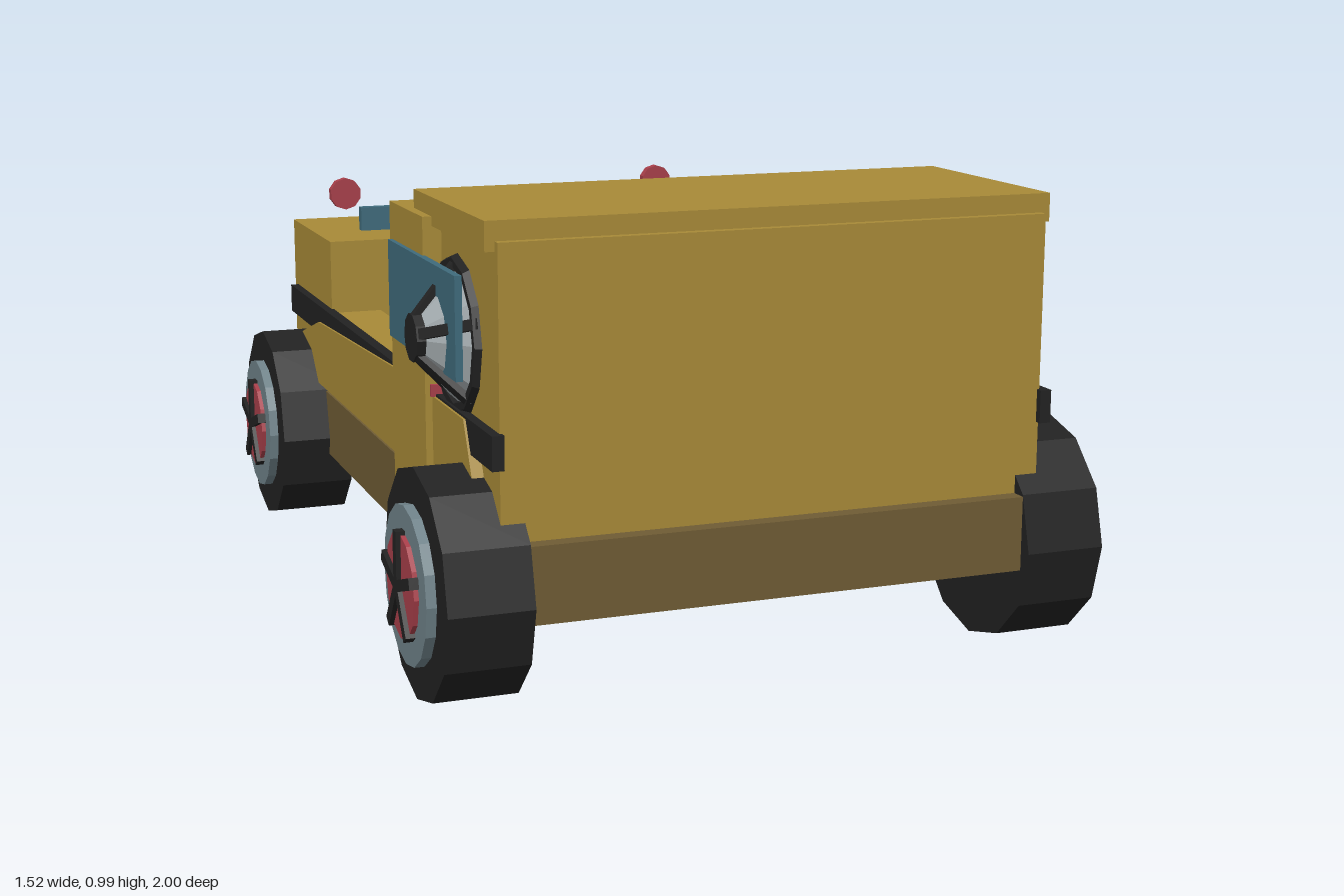
import * as THREE from 'three';

const mat = (name, color) => {
  const m = new THREE.MeshStandardMaterial({ color, flatShading: true });
  m.name = name;
  return m;
};

export function createModel() {
  const ochre = mat('ochrePaint', 0xa88a38);
  const brown = mat('chassisBrown', 0x6f5c34);
  const black = mat('rubberBlack', 0x222222);
  const blue = mat('glassBlue', 0x3f6b7c);
  const steel = mat('steelGrey', 0x6f8289);
  const red = mat('signalRed', 0xa83f4a);
  const pale = mat('paleGrey', 0xa3abae);

  const car = new THREE.Group();
  car.name = 'offRoadCar';
  const add = (name, geo, m, parent = car) => {
    const mesh = new THREE.Mesh(geo, m);
    mesh.name = name;
    parent.add(mesh);
    return mesh;
  };
  // Box given by its extents on each axis
  const box = (name, m, x0, x1, y0, y1, z0, z1, parent = car) => {
    const mesh = add(name, new THREE.BoxGeometry(x1 - x0, y1 - y0, z1 - z0), m, parent);
    mesh.position.set((x0 + x1) / 2, (y0 + y1) / 2, (z0 + z1) / 2);
    return mesh;
  };
  // Same box on both sides of the car
  const pair = (name, m, x0, x1, ...rest) => {
    box(name + 'Left', m, x0, x1, ...rest);
    box(name + 'Right', m, -x1, -x0, ...rest);
  };

  // Chassis and main body blocks
  box('chassis', brown, -0.6, 0.6, 0.2, 0.36, -0.975, 0.97);
  box('hood', ochre, -0.59, 0.59, 0.36, 0.75, -0.935, -0.5);
  box('cab', ochre, -0.59, 0.59, 0.36, 0.95, 0.5, 0.935);
  box('roof', ochre, -0.61, 0.61, 0.93, 0.99, 0.4, 0.915);
  pair('cabPillar', ochre, 0.545, 0.63, 0.3, 0.95, 0.27, 0.54);
  pair('sideWindow', blue, 0.625, 0.64, 0.66, 0.87, 0.29, 0.81);
  pair('sideRail', black, 0.585, 0.61, 0.51, 0.58, -0.9, 0.95);

  // Side walls around the cockpit
  pair('sideWall', ochre, 0.465, 0.59, 0.38, 0.57, -0.5, 0.5);

  // Outer side panels, with edges falling away over the wheels
  const panel = new THREE.Shape([
    [0.85, 0.42], [0.77, 0.575], [0.27, 0.575], [-0.55, 0.54], [-0.92, 0.43], [-0.92, 0.38], [0.85, 0.38],
  ].map(([z, y]) => new THREE.Vector2(-z, y)));
  for (const s of [1, -1]) {
    const geo = new THREE.ExtrudeGeometry(panel, { depth: 0.03, bevelEnabled: false });
    geo.rotateY(Math.PI / 2);
    geo.translate(s > 0 ? 0.585 : -0.615, 0, 0);
    add(s > 0 ? 'sidePanelLeft' : 'sidePanelRight', geo, ochre);
  }

  // Grille with bars, headlights, marker lamps and windscreen strip
  box('grille', black, -0.29, 0.29, 0.385, 0.52, -0.965, -0.93);
  for (let i = -2; i <= 2; i++) {
    box('grilleBar', steel, i * 0.1 - 0.011, i * 0.1 + 0.011, 0.395, 0.505, -0.983, -0.96);
  }
  pair('headlight', pale, 0.33, 0.49, 0.55, 0.63, -0.968, -0.93);
  for (const s of [1, -1]) {
    const lamp = add('markerLamp', new THREE.CylinderGeometry(0.042, 0.042, 0.024, 10), red);
    lamp.rotation.x = Math.PI / 2;
    lamp.position.set(s * 0.447, 0.812, -0.947);
  }
  box('windscreenStrip', blue, -0.47, 0.47, 0.74, 0.81, -0.69, -0.665);

  // Seat
  box('seatCushion', black, -0.21, 0.21, 0.36, 0.5, -0.09, 0.3);
  box('seatBack', black, -0.21, 0.21, 0.36, 0.745, 0.285, 0.39);
  box('seatInset', brown, -0.16, 0.16, 0.53, 0.7, 0.267, 0.287);

  // Steering wheel and its sloping column
  const steering = new THREE.Group();
  steering.name = 'steeringWheel';
  steering.position.set(0, 0.665, -0.285);
  car.add(steering);
  add('rim', new THREE.TorusGeometry(0.1, 0.018, 6, 14), black, steering);
  box('crossbar', steel, -0.09, 0.09, -0.02, 0.02, -0.008, 0.008, steering);
  const top = new THREE.Vector3(0, 0.66, -0.29), foot = new THREE.Vector3(0, 0.36, -0.47);
  const column = add('steeringColumn', new THREE.CylinderGeometry(0.013, 0.013, top.distanceTo(foot), 8), steel);
  column.position.copy(top).add(foot).multiplyScalar(0.5);
  column.quaternion.setFromUnitVectors(new THREE.Vector3(0, 1, 0), top.clone().sub(foot).normalize());

  // Red canisters behind the seat
  for (let i = 0; i < 3; i++) {
    box('canister', red, -0.46, -0.325, 0.5 + i * 0.1, 0.595 + i * 0.1, 0.43, 0.505);
  }

  // Disc whose axis lies along x
  const disc = (name, m, r, x0, x1, sides, parent) => {
    const geo = new THREE.CylinderGeometry(r, r, x1 - x0, sides);
    geo.rotateZ(-Math.PI / 2);
    geo.translate((x0 + x1) / 2, 0, 0);
    return add(name, geo, m, parent);
  };

  // Four wheels with five-spoke hubs
  for (const s of [1, -1]) for (const z of [0.76, -0.76]) {
    const wheel = new THREE.Group();
    wheel.name = (z > 0 ? 'cabWheel' : 'hoodWheel') + (s > 0 ? 'Left' : 'Right');
    wheel.position.set(0, 0.243, z);
    if (s < 0) wheel.rotation.y = Math.PI;
    disc('tyre', black, 0.242, 0.54, 0.717, 12, wheel);
    disc('rim', steel, 0.165, 0.7, 0.738, 16, wheel);
    disc('hub', red, 0.11, 0.73, 0.748, 12, wheel);
    for (let i = 0; i < 5; i++) {
      const spoke = add('spoke', new THREE.BoxGeometry(0.02, 0.115, 0.024).translate(0.748, 0.0575, 0), black, wheel);
      spoke.rotation.x = i * Math.PI * 0.4;
    }
    car.add(wheel);
  }

  // Spare wheel on the right cab wall, domed outwards
  const spare = new THREE.Group();
  spare.name = 'spareWheel';
  spare.position.set(-0.59, 0.725, 0.66);
  car.add(spare);
  const dome = new THREE.CylinderGeometry(0.045, 0.15, 0.085, 10);
  dome.rotateZ(Math.PI / 2);
  add('dome', dome.translate(-0.042, 0, 0), pale, spare);
  add('ring', new THREE.TorusGeometry(0.15, 0.016, 6, 12).rotateY(Math.PI / 2), black, spare);
  for (let i = 0; i < 5; i++) {
    const arm = new THREE.Group();
    arm.name = 'spareSpoke';
    arm.rotation.x = i * Math.PI * 0.4;
    const bar = add('bar', new THREE.BoxGeometry(0.018, 0.15, 0.022), black, arm);
    bar.position.set(-0.046, 0.095, 0);
    bar.rotation.z = -0.68;
    spare.add(arm);
  }
  disc('spareCap', black, 0.05, -0.1, -0.08, 10, spare);
  box('spareLatch', red, -0.03, 0, -0.15, -0.125, -0.15, -0.11, spare);

  return car;
}
